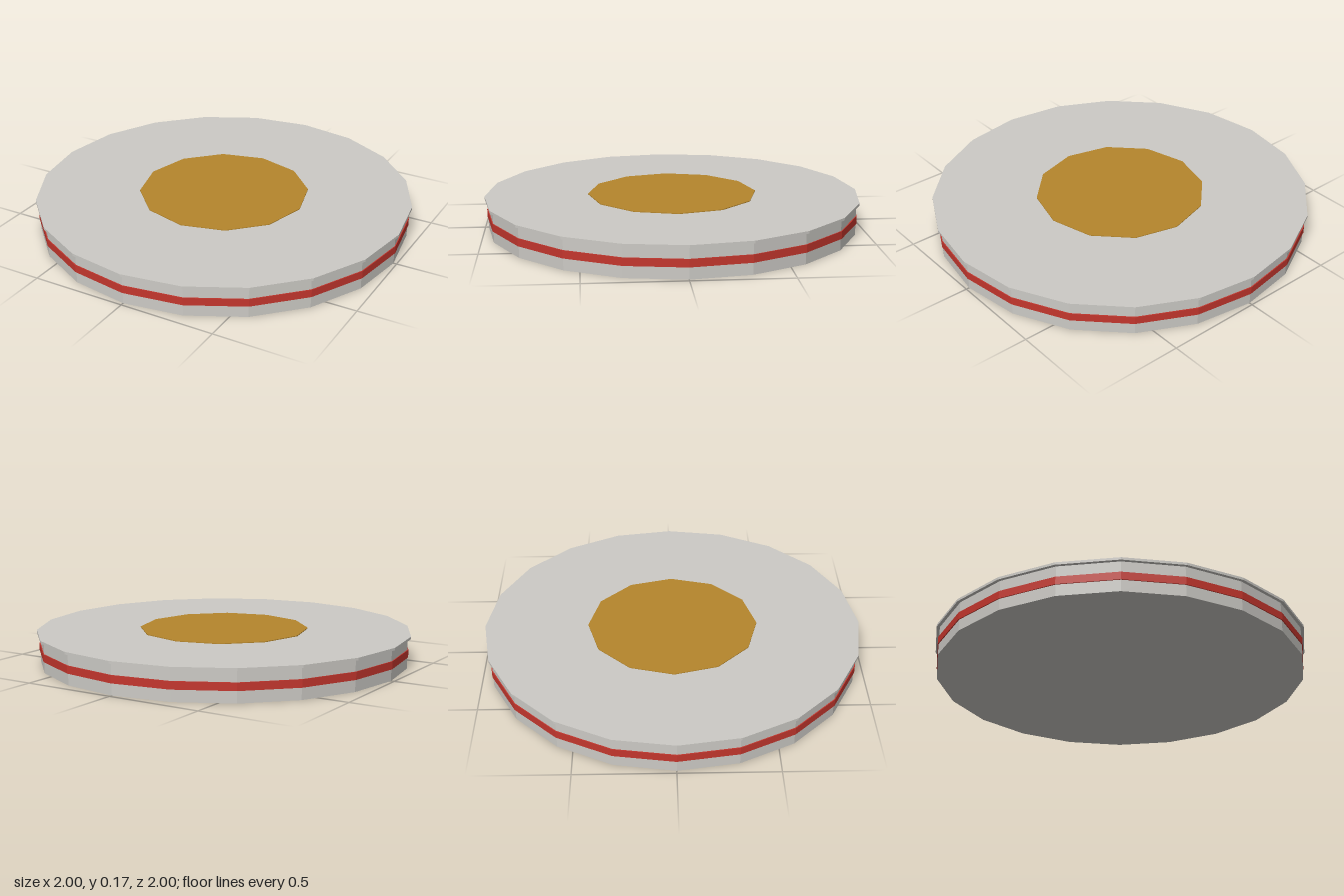
import * as THREE from 'three';

const flat = (name, color) => {
  const material = new THREE.MeshStandardMaterial({ color });
  material.name = name;
  return material;
};

export function createModel() {
  const model = new THREE.Group();
  model.name = 'roundTin';

  const silver = flat('silver', 0xcccac5);
  const red = flat('red', 0xc4362d);
  const gold = flat('gold', 0xb5862c);

  // Faceted disc between two heights; split corners give flat facets
  const disc = (name, radius, bottom, top, sides, material) => {
    const geometry = new THREE.CylinderGeometry(radius, radius, top - bottom, sides).toNonIndexed();
    geometry.computeVertexNormals();
    const mesh = new THREE.Mesh(geometry, material);
    mesh.name = name;
    mesh.position.y = (bottom + top) / 2;
    model.add(mesh);
  };

  disc('body', 0.983, 0, 0.157, 20, silver);
  disc('sideBand', 0.988, 0.06, 0.1, 20, red);
  disc('lid', 1, 0.157, 0.17, 20, silver);
  disc('lidEmblemDisc', 0.45, 0.168, 0.174, 12, gold);

  return model;
}
